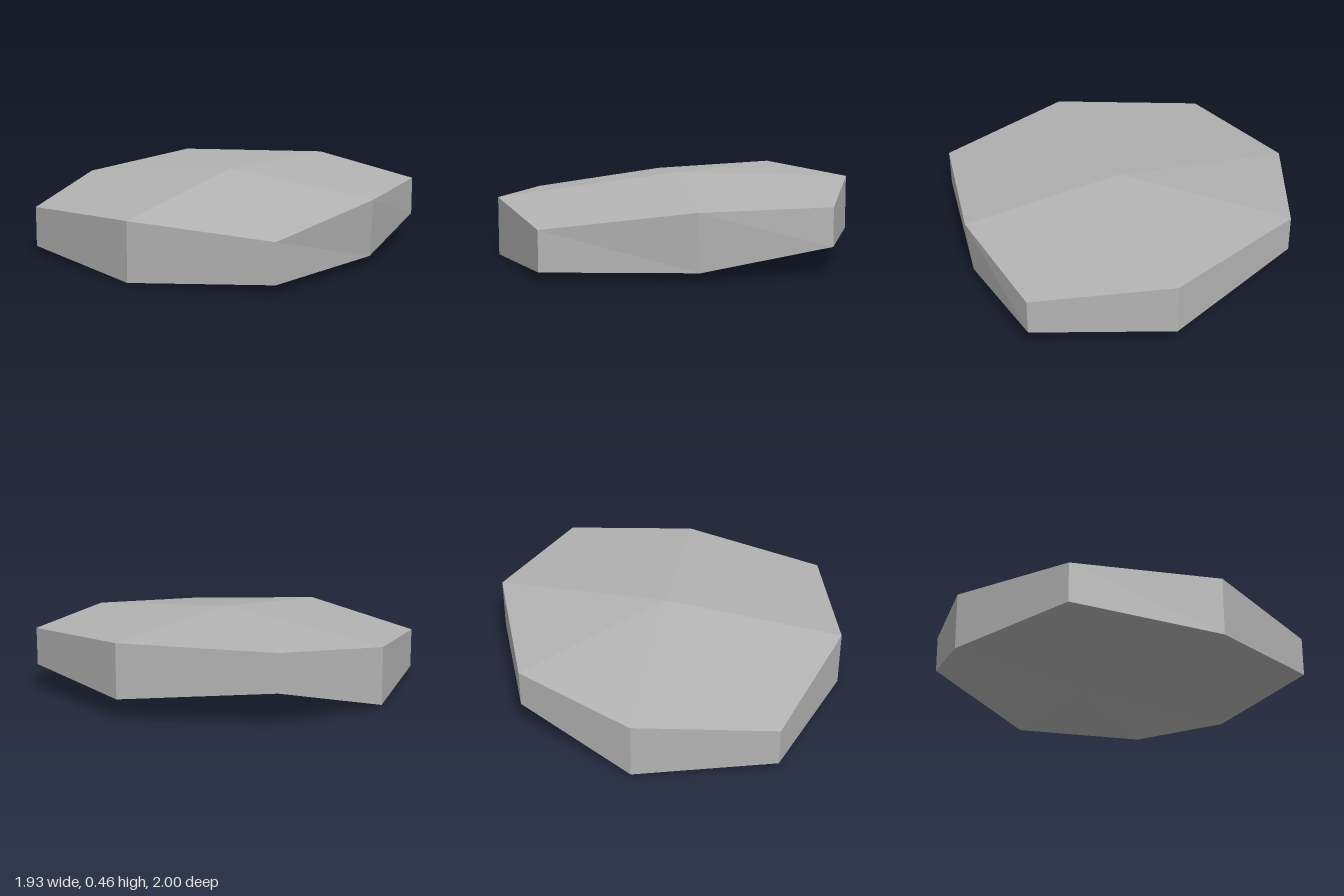
import * as THREE from 'three';

// Rim corners, counter-clockwise from the front: [x, z, top y, bottom y]
const RIM = [
  [0.11, 1.0, 0.33, 0.0],
  [0.875, 0.755, 0.275, 0.052],
  [0.965, -0.065, 0.37, 0.05],
  [0.813, -0.793, 0.367, 0.155],
  [0.05, -1.0, 0.425, 0.12],
  [-0.738, -0.645, 0.415, 0.2],
  [-0.965, 0.03, 0.345, 0.02],
  [-0.725, 0.79, 0.27, 0.045],
];
const TOP_CENTRE = [0.05, 0.455, -0.01];
const BOTTOM_CENTRE = [-0.09, 0.02, -0.07];

// Flat-faced mesh from a list of triangles
function facets(name, triangles, material) {
  const geometry = new THREE.BufferGeometry();
  geometry.setAttribute('position', new THREE.Float32BufferAttribute(triangles.flat(2), 3));
  geometry.computeVertexNormals();
  const mesh = new THREE.Mesh(geometry, material);
  mesh.name = name;
  return mesh;
}

export function createModel() {
  const group = new THREE.Group();
  group.name = 'stoneSlab';
  const stone = new THREE.MeshStandardMaterial({ color: 0xb4b4b4 });
  stone.name = 'stone grey';
  stone.flatShading = true;

  const top = RIM.map(([x, z, y]) => [x, y, z]);
  const bottom = RIM.map(([x, z, , y]) => [x, y, z]);
  // One lower corner is tucked in slightly
  bottom[2][0] = 0.94;
  bottom[2][2] = -0.08;

  const topFaces = [], sideFaces = [], bottomFaces = [];
  for (let i = 0; i < RIM.length; i++) {
    const j = (i + 1) % RIM.length;
    topFaces.push([TOP_CENTRE, top[i], top[j]]);
    sideFaces.push([top[i], bottom[i], bottom[j]], [top[i], bottom[j], top[j]]);
    bottomFaces.push([BOTTOM_CENTRE, bottom[j], bottom[i]]);
  }

  group.add(
    facets('upperFace', topFaces, stone),
    facets('rim', sideFaces, stone),
    facets('underside', bottomFaces, stone),
  );
  return group;
}
